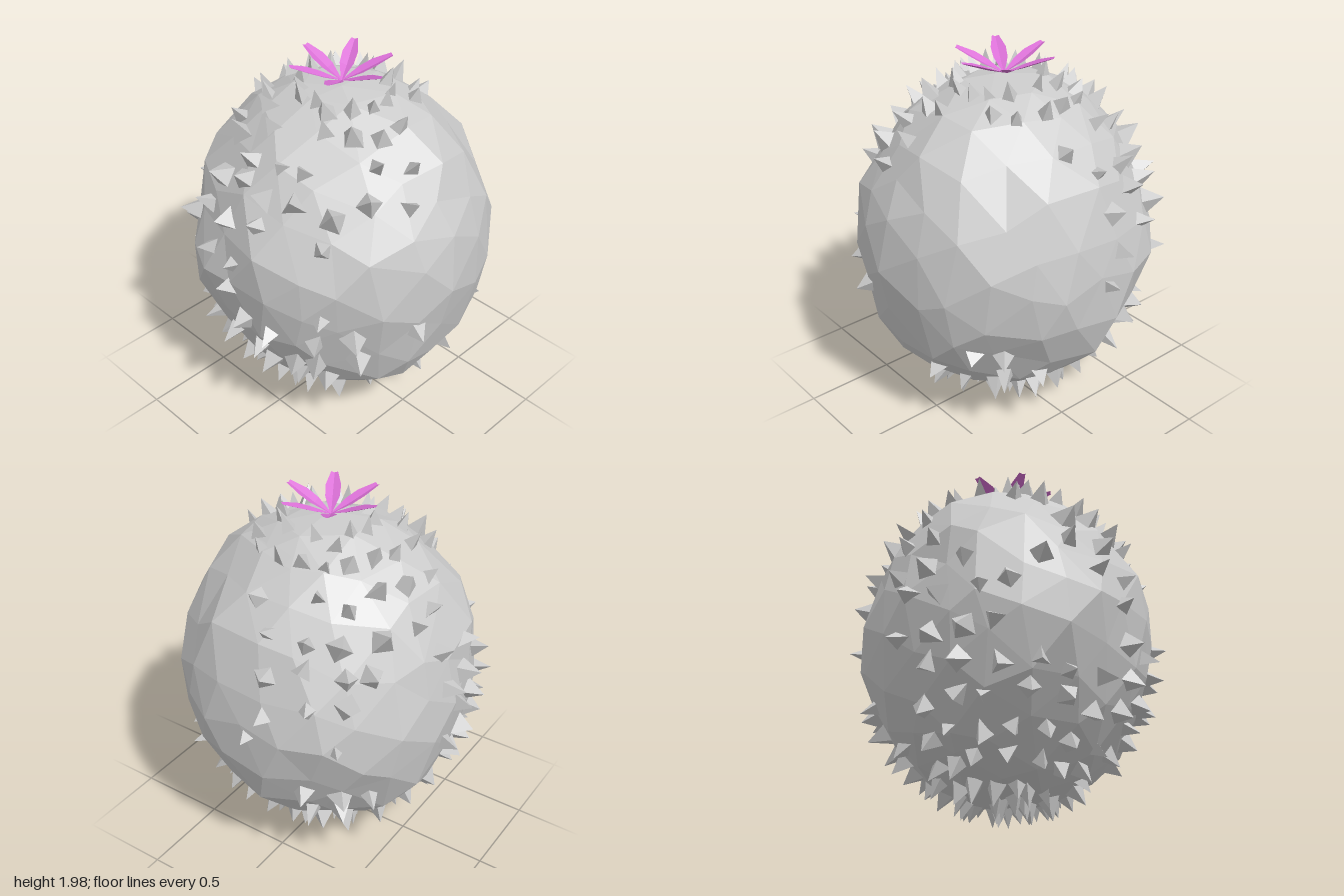
import * as THREE from 'three';
import { mergeGeometries } from 'three/addons/utils/BufferGeometryUtils.js';

const CENTRE_Y = 1.0;
const BODY = new THREE.Vector3(0.775, 0.89, 0.775);
const TIPS = new THREE.Vector3(0.88, 0.99, 0.88);

// Bare areas without spikes: direction x, y, z and angular radius
const BARE = [
  [0.05, 0.15, 1, 0.4], [-0.45, 0.15, 0.8, 0.35], [0.55, 0.1, 0.8, 0.35],
  [-0.2, -0.6, 0.8, 0.33], [0.25, 0.65, 0.7, 0.33], [0.3, -0.35, 0.85, 0.25],
  [0.85, -0.1, 0.4, 0.35], [0.9, 0.4, 0.25, 0.3], [0.9, -0.45, 0, 0.28],
  [0.9, 0, -0.35, 0.22], [0.5, -0.1, -0.8, 0.33], [0.3, -0.5, -0.8, 0.22],
  [-0.4, 0.5, -0.7, 0.33], [-0.8, -0.05, -0.4, 0.28], [-0.85, 0.2, 0.35, 0.25],
].map(([x, y, z, r]) => ({ dir: new THREE.Vector3(x, y, z).normalize(), r }));

function seeded(seed) {
  return () => {
    seed = (seed * 1664525 + 1013904223) % 4294967296;
    return seed / 4294967296;
  };
}

// 1 in the middle of a bare area, falling to 0 outside it
function bareness(dir) {
  let best = 0;
  for (const { dir: d, r } of BARE) {
    best = Math.max(best, 1 - THREE.MathUtils.smoothstep(dir.angleTo(d), r * 0.8, r * 1.3));
  }
  return best;
}

const onShell = (dir, radii) => dir.clone().multiply(radii).add(new THREE.Vector3(0, CENTRE_Y, 0));

// Faceted egg-shaped body, bulging slightly where it is bare
function bodyGeometry() {
  const geo = new THREE.IcosahedronGeometry(1, 3);
  const pos = geo.attributes.position;
  const v = new THREE.Vector3();
  for (let i = 0; i < pos.count; i++) {
    v.fromBufferAttribute(pos, i).normalize();
    const wobble = (k, p) => Math.sin(k * (v.x * 1.3 + v.y * 2.1 + v.z * 1.7) + p);
    const dir = v.clone().add(new THREE.Vector3(wobble(17, 0), wobble(19, 2), wobble(23, 4)).multiplyScalar(0.045)).normalize();
    const grow = 1 + 0.045 * bareness(dir) + 0.012 * wobble(29, 1);
    const p = onShell(dir, BODY.clone().multiplyScalar(grow));
    pos.setXYZ(i, p.x, p.y, p.z);
  }
  geo.computeVertexNormals();
  return geo;
}

// Rows of staggered, slightly irregular pyramids
function spikeGeometry() {
  const rnd = seeded(41);
  const jitter = (a) => (rnd() - 0.5) * a;
  const up = new THREE.Vector3(0, 1, 0);
  const parts = [];
  const rows = 15;
  for (let row = 0; row < rows; row++) {
    const polar = Math.PI * (row + 0.5) / rows;
    const columns = Math.round(10 + 15 * Math.sin(polar));
    for (let col = 0; col < columns; col++) {
      const theta = polar + jitter(0.1);
      const phi = 2 * Math.PI * (col + (row % 2) / 2 + jitter(0.4)) / columns;
      const dir = new THREE.Vector3().setFromSphericalCoords(1, theta, phi);
      const width = 0.055 + 0.03 * rnd();
      const reach = 0.97 + 0.03 * rnd();
      const sides = rnd() < 0.5 ? 3 : 4;
      const drop = rnd() < 0.06;
      if (drop || bareness(dir) > 0.5 || theta < 0.16) continue;
      const base = onShell(dir, BODY.clone().multiplyScalar(0.965));
      const tip = onShell(dir, TIPS.clone().multiplyScalar(reach));
      const axis = tip.clone().sub(base);
      const length = axis.length();
      const tilt = axis.normalize().clone().add(new THREE.Vector3(jitter(0.3), jitter(0.3), jitter(0.3))).normalize();
      const cone = new THREE.ConeGeometry(width * (0.7 + 0.3 * Math.sin(theta)), length, sides, 1, true);
      cone.translate(0, length / 2, 0).rotateY(rnd() * 6.28);
      cone.applyQuaternion(new THREE.Quaternion().setFromUnitVectors(up, tilt));
      cone.translate(base.x, base.y, base.z);
      parts.push(cone);
    }
  }
  return mergeGeometries(parts);
}

// One folded petal pointing along +z, rising to its tip
function petalGeometry() {
  const stations = [[0, 0.004, 0], [0.1, 0.037, 0.035], [0.17, 0.04, 0.065], [0.262, 0.018, 0.105]];
  const points = [], index = [];
  stations.forEach(([z, w, y], i) => {
    const fold = w * 0.35;
    points.push(-w, y + fold, z, 0, y, z, w, y + fold, z);
    if (i === 0) return;
    for (let k = 0; k < 2; k++) {
      const a = (i - 1) * 3 + k, b = a + 3;
      index.push(a, b, a + 1, b, b + 1, a + 1);
    }
  });
  const geo = new THREE.BufferGeometry();
  geo.setAttribute('position', new THREE.Float32BufferAttribute(points, 3));
  geo.setIndex(index);
  geo.computeVertexNormals();
  return geo;
}

export function createModel() {
  const model = new THREE.Group();
  model.name = 'cactus';
  const grey = new THREE.MeshStandardMaterial({ color: 0xcccccc, flatShading: true });
  const pink = new THREE.MeshStandardMaterial({ color: 0xda70d6, flatShading: true, side: THREE.DoubleSide });

  const body = new THREE.Mesh(bodyGeometry(), grey);
  body.name = 'body';
  const spikes = new THREE.Mesh(spikeGeometry(), grey);
  spikes.name = 'spikes';
  model.add(body, spikes);

  // Six-petalled flower on the crown
  const flower = new THREE.Group();
  flower.name = 'flower';
  flower.position.y = 1.885;
  const petalShape = petalGeometry();
  for (let i = 0; i < 6; i++) {
    const petal = new THREE.Mesh(petalShape, pink);
    petal.name = 'petal';
    petal.rotation.y = i * Math.PI / 3;
    flower.add(petal);
  }
  model.add(flower);
  return model;
}
